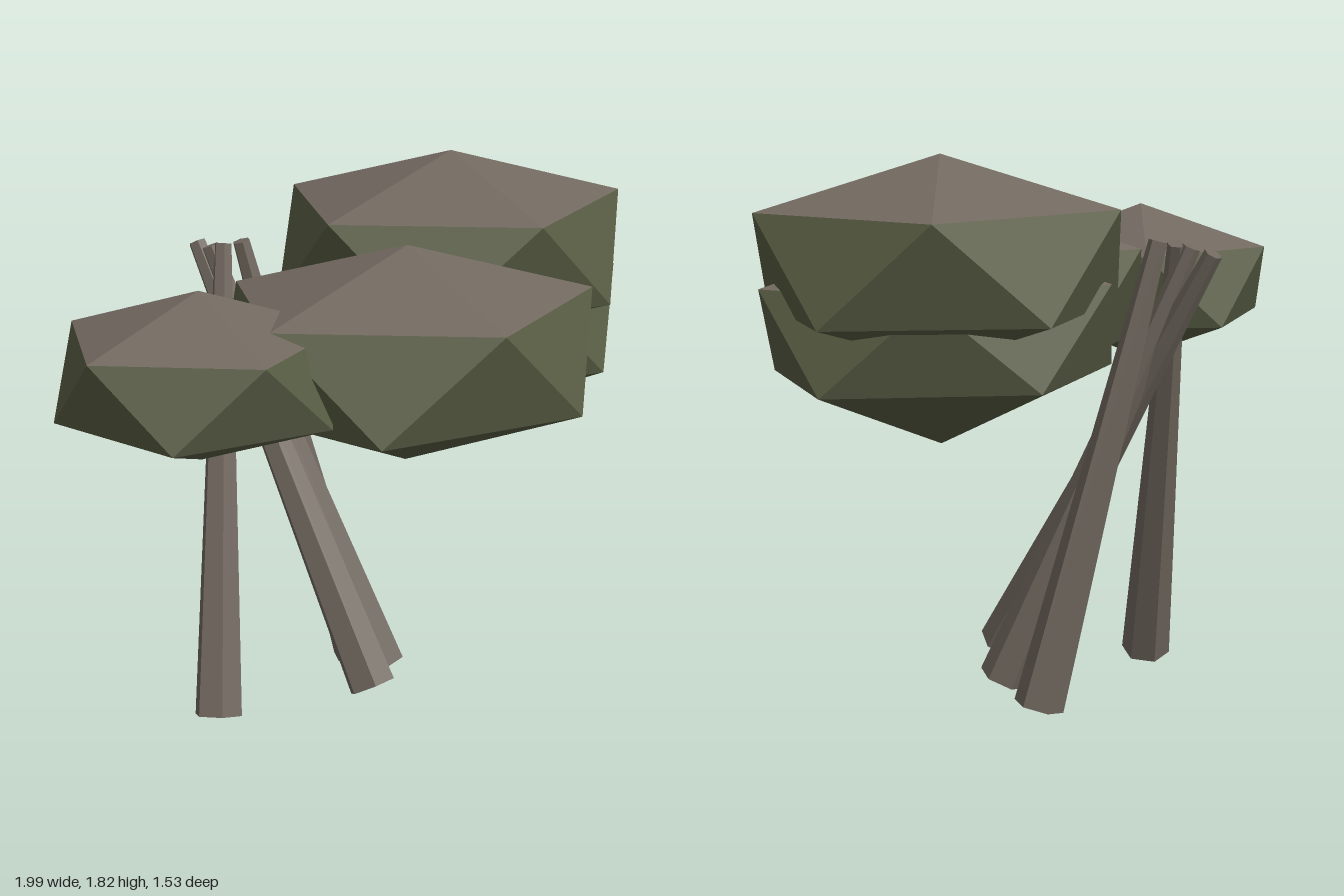
import * as THREE from 'three';

const bark = new THREE.MeshStandardMaterial({ color: 0x71685f, flatShading: true });
bark.name = 'greyBrown';
const leaf = new THREE.MeshStandardMaterial({ color: 0x5a5f45, flatShading: true });
leaf.name = 'oliveGreen';

// Flattened twenty-sided crown: brown upper cap, green sides and underside.
// levels = heights of top point, upper ring, lower ring, bottom point
function crown(name, x, z, rx, rz, levels) {
  const [top, upper, lower, bottom] = levels;
  const ring = (i, y, shift) => {
    const a = ((i + shift) * Math.PI * 2) / 5;
    return [x + rx * Math.cos(a), y, z + rz * Math.sin(a)];
  };
  const apex = [x, top, z];
  const base = [x, bottom, z];
  const cap = [];
  const body = [];
  for (let i = 0; i < 5; i++) {
    const u0 = ring(i, upper, 0);
    const u1 = ring(i + 1, upper, 0);
    const l0 = ring(i, lower, 0.5);
    const l1 = ring(i + 1, lower, 0.5);
    cap.push(...apex, ...u1, ...u0);
    body.push(...u0, ...u1, ...l0, ...l0, ...u1, ...l1, ...base, ...l0, ...l1);
  }
  const geo = new THREE.BufferGeometry();
  geo.setAttribute('position', new THREE.Float32BufferAttribute([...cap, ...body], 3));
  geo.addGroup(0, cap.length / 3, 0);
  geo.addGroup(cap.length / 3, body.length / 3, 1);
  geo.computeVertexNormals();
  const mesh = new THREE.Mesh(geo, [bark, leaf]);
  mesh.name = name;
  return mesh;
}

// Straight tapering six-sided trunk between two points
function trunk(name, from, to) {
  const a = new THREE.Vector3(...from);
  const b = new THREE.Vector3(...to);
  const dir = b.clone().sub(a);
  const mesh = new THREE.Mesh(new THREE.CylinderGeometry(0.03, 0.083, dir.length(), 6), bark);
  mesh.position.copy(a).add(b).multiplyScalar(0.5);
  mesh.quaternion.setFromUnitVectors(new THREE.Vector3(0, 1, 0), dir.normalize());
  mesh.name = name;
  return mesh;
}

export function createModel() {
  const model = new THREE.Group();
  model.name = 'tree';

  // Leaning trunks that meet near their tips
  const trunks = new THREE.Group();
  trunks.name = 'trunks';
  trunks.add(
    trunk('rightTrunk', [-0.48, 0.04, 0.14], [-0.36, 1.53, -0.355]),
    trunk('frontTrunk', [0.04, 0.11, 0.17], [-0.43, 1.51, -0.48]),
    trunk('leftTrunk', [0.13, 0.07, -0.09], [-0.4, 1.52, -0.38]),
    trunk('backTrunk', [0.08, 0.03, -0.29], [-0.3, 1.54, -0.345])
  );

  // Overlapping foliage crowns
  const foliage = new THREE.Group();
  foliage.name = 'foliage';
  foliage.add(
    crown('upperCrown', 0.4, -0.28, 0.59, 0.505, [1.83, 1.67, 1.35, 1.18]),
    crown('lowerCrown', 0.38, -0.21, 0.58, 0.455, [1.6, 1.43, 1.13, 0.91]),
    crown('frontCrown', 0.13, 0.24, 0.61, 0.515, [1.65, 1.48, 1.15, 0.94]),
    crown('rightCrown', -0.55, 0.385, 0.45, 0.405, [1.58, 1.44, 1.19, 1.04])
  );

  model.add(trunks, foliage);
  return model;
}
